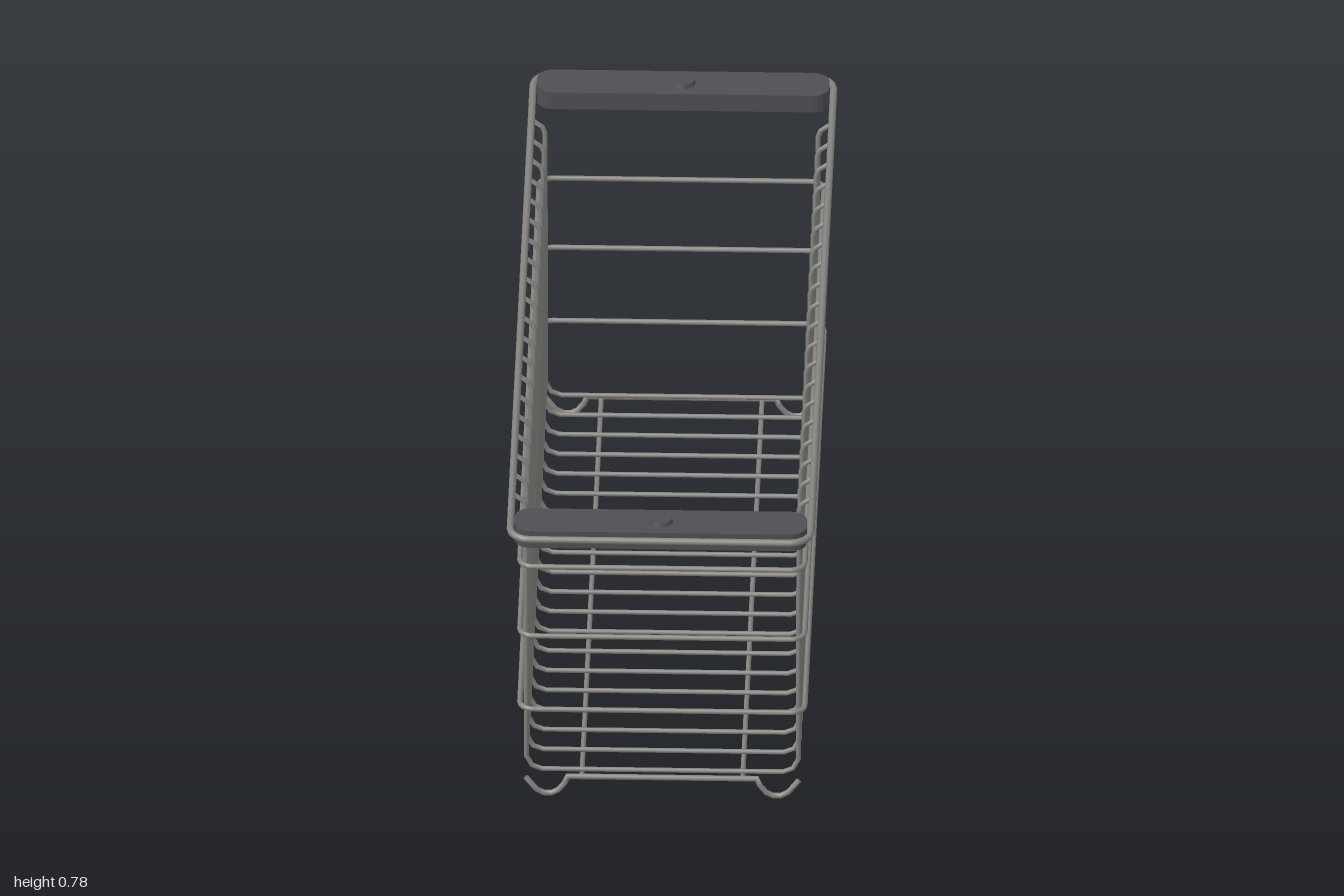
import * as THREE from 'three';

const V = (x, y, z) => new THREE.Vector3(x, y, z);

// Sweeps a round wire along a planar path (n = normal of the path's plane), mitred at corners
function wire(points, n, r, closed = false, sides = 8) {
  const pos = [], idx = [], count = points.length;
  points.forEach((p, i) => {
    const prev = points[closed ? (i + count - 1) % count : Math.max(i - 1, 0)];
    const next = points[closed ? (i + 1) % count : Math.min(i + 1, count - 1)];
    const a = p.clone().sub(prev).normalize(), b = next.clone().sub(p).normalize();
    const t = a.clone().add(b).normalize();
    const miter = 1 / Math.max(0.5, Math.max(t.dot(a), t.dot(b)));
    const s = t.clone().cross(n).multiplyScalar(miter);
    for (let j = 0; j < sides; j++) {
      const ang = (j / sides) * Math.PI * 2;
      const q = p.clone().addScaledVector(n, r * Math.cos(ang)).addScaledVector(s, r * Math.sin(ang));
      pos.push(q.x, q.y, q.z);
    }
  });
  const spans = closed ? count : count - 1;
  for (let i = 0; i < spans; i++) {
    for (let j = 0; j < sides; j++) {
      const k = (j + 1) % sides, m = ((i + 1) % count) * sides;
      const a = i * sides + j, b = i * sides + k, c = m + k, d = m + j;
      idx.push(a, b, c, a, c, d);
    }
  }
  if (!closed) {
    const e = (count - 1) * sides;
    for (let j = 1; j < sides - 1; j++) idx.push(0, j + 1, j, e, e + j, e + j + 1);
  }
  const g = new THREE.BufferGeometry();
  g.setAttribute('position', new THREE.Float32BufferAttribute(pos, 3));
  g.setIndex(idx);
  g.computeVertexNormals();
  return g;
}

// Corner points of a horizontal rounded rectangle
function loopPoints(hx, hz, rad, y, segs = 4) {
  const pts = [];
  [[1, 1], [-1, 1], [-1, -1], [1, -1]].forEach(([sx, sz], q) => {
    for (let i = 0; i <= segs; i++) {
      const a = (q + i / segs) * Math.PI / 2;
      pts.push(V(sx * (hx - rad) + rad * Math.cos(a), y, sz * (hz - rad) + rad * Math.sin(a)));
    }
  });
  return pts;
}

// Mirrors a half profile (given from centre outwards) into a full path across x
function mirrored(half) {
  return [...half.slice().reverse().map(([x, y]) => V(-x, y, 0)), ...half.map(([x, y]) => V(x, y, 0))];
}

export function createModel() {
  const model = new THREE.Group();
  model.name = 'wireBasket';
  const metal = new THREE.MeshStandardMaterial({ name: 'grey metal', color: 0x84837f });
  const plastic = new THREE.MeshStandardMaterial({ name: 'dark plastic', color: 0x504e54, flatShading: true });
  const add = (name, geometry, material, x = 0, y = 0, z = 0) => {
    const mesh = new THREE.Mesh(geometry, material);
    mesh.name = name;
    mesh.position.set(x, y, z);
    model.add(mesh);
    return mesh;
  };
  const UP = V(0, 1, 0), FRONT = V(0, 0, 1);

  // Top rim and the three side hoops
  add('topRim', wire(loopPoints(0.327, 0.992, 0.045, 0.755), UP, 0.008, true), metal);
  for (const y of [0.23, 0.415, 0.59]) {
    add('sideHoop', wire(loopPoints(0.31, 0.829, 0.03, y), UP, 0.006, true), metal);
  }

  // U-shaped ribs, flared out to the rim at the top
  const rib = wire(mirrored([
    [0.262, 0.061], [0.284, 0.07], [0.296, 0.094],
    [0.297, 0.722], [0.303, 0.738], [0.322, 0.752],
  ]), FRONT, 0.0055);
  for (let i = 0; i < 20; i++) add('rib', rib, metal, 0, 0, -0.797 + i * 1.594 / 19);

  // Lengthwise floor wires
  for (const x of [-0.175, 0.175]) {
    add('floorWire', wire([V(x, 0.05, -0.81), V(x, 0.05, 0.81)], UP, 0.0055), metal);
  }

  // End wires with a curled foot at each side
  const foot = wire(mirrored([
    [0.205, 0.05], [0.212, 0.034], [0.226, 0.016], [0.241, 0.008],
    [0.257, 0.008], [0.274, 0.017], [0.297, 0.047],
  ]), FRONT, 0.0065);

  // Handle bar outline with rounded corners
  const outline = new THREE.Shape(loopPoints(0.318, 0.049, 0.035, 0, 5).map(p => new THREE.Vector2(p.x, p.z)));
  const bar = new THREE.ExtrudeGeometry(outline, { depth: 0.042, bevelEnabled: false });
  bar.rotateX(-Math.PI / 2);
  const button = new THREE.CylinderGeometry(0.024, 0.028, 0.012, 20);

  for (const s of [-1, 1]) {
    add('footWire', foot, metal, 0, 0, s * 0.81);
    add('handle', bar, plastic, 0, 0.73, s * 0.936);
    add('handleButton', button, plastic, 0, 0.775, s * 0.936);
  }
  return model;
}
